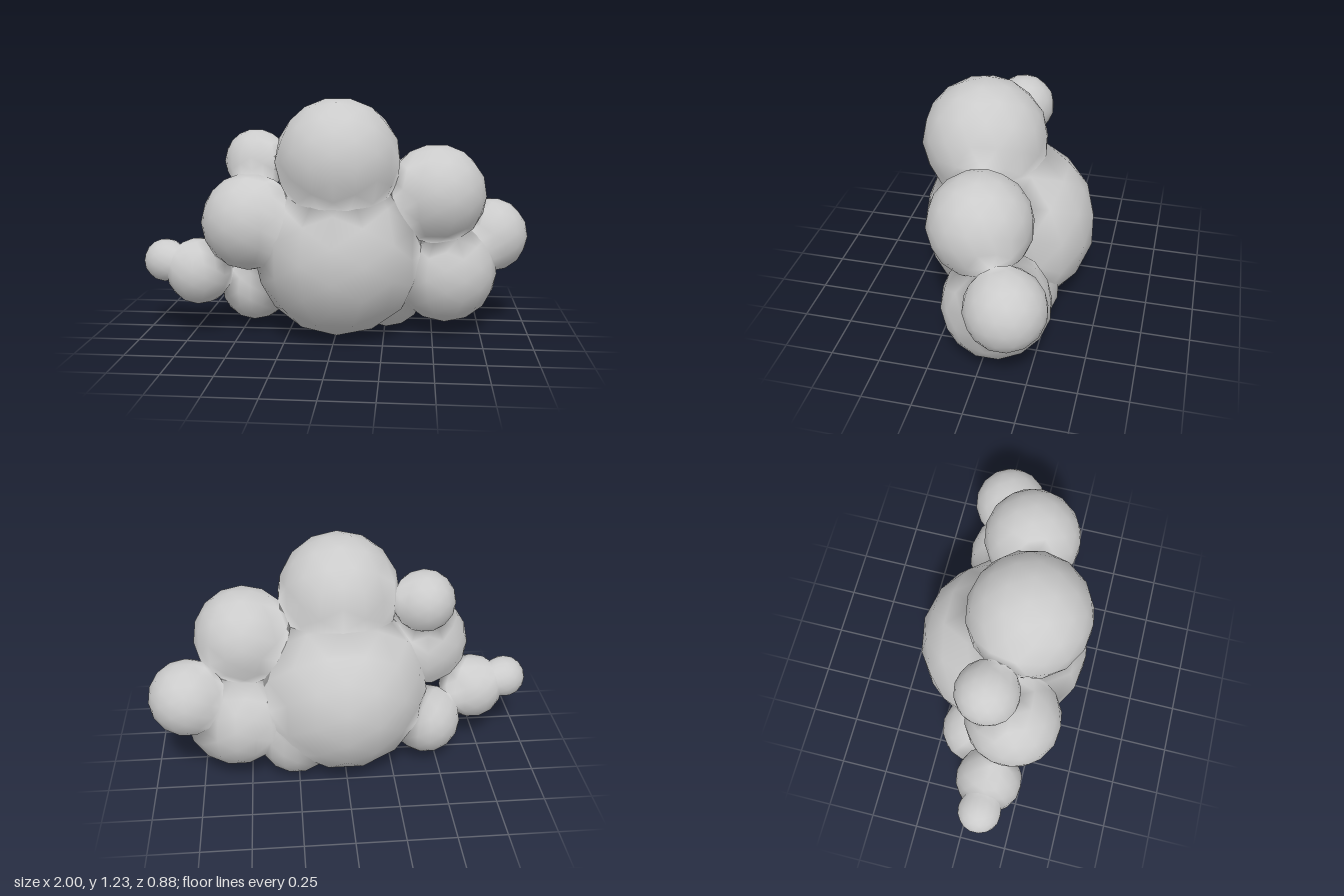
import * as THREE from 'three';

// Puffs of the cloud: name, centre x, y, z, radius
const PUFFS = [
  ['mainPuff', 0.01, 0.45, 0, 0.45],
  ['topPuff', 0.015, 0.925, 0.125, 0.318],
  ['upperLeftPuff', 0.51, 0.75, 0.028, 0.257],
  ['lowerLeftPuff', 0.563, 0.335, -0.06, 0.272],
  ['outerLeftPuff', 0.803, 0.51, -0.16, 0.197],
  ['undersidePuff', 0.26, 0.215, -0.11, 0.203],
  ['upperRightPuff', -0.43, 0.618, 0.153, 0.248],
  ['smallTopRightPuff', -0.415, 0.915, 0.02, 0.162],
  ['lowerRightPuff', -0.44, 0.237, -0.048, 0.184],
  ['outerRightPuff', -0.71, 0.342, 0.093, 0.174],
  ['rightTipPuff', -0.89, 0.395, 0.09, 0.112],
].map(([name, x, y, z, radius]) => ({ name, centre: new THREE.Vector3(x, y, z), radius }));

// Normal of the softly merged puffs at a point, so shading flows across the joints
function blendedNormal(point) {
  const normal = new THREE.Vector3();
  for (const { centre, radius } of PUFFS) {
    const away = point.clone().sub(centre);
    const distance = away.length() - radius;
    normal.addScaledVector(away.normalize(), Math.exp(-28 * distance));
  }
  return normal.normalize();
}

function makePuff({ name, centre, radius }, material) {
  const geometry = new THREE.IcosahedronGeometry(radius, 2);
  const { position, normal } = geometry.attributes;
  const point = new THREE.Vector3();
  for (let i = 0; i < position.count; i++) {
    const n = blendedNormal(point.fromBufferAttribute(position, i).add(centre));
    normal.setXYZ(i, n.x, n.y, n.z);
  }
  const mesh = new THREE.Mesh(geometry, material);
  mesh.name = name;
  mesh.position.copy(centre);
  return mesh;
}

export function createModel() {
  const cloud = new THREE.Group();
  cloud.name = 'cloud';
  const material = new THREE.MeshStandardMaterial({ color: 0xcccccc });
  for (const puff of PUFFS) cloud.add(makePuff(puff, material));
  return cloud;
}
